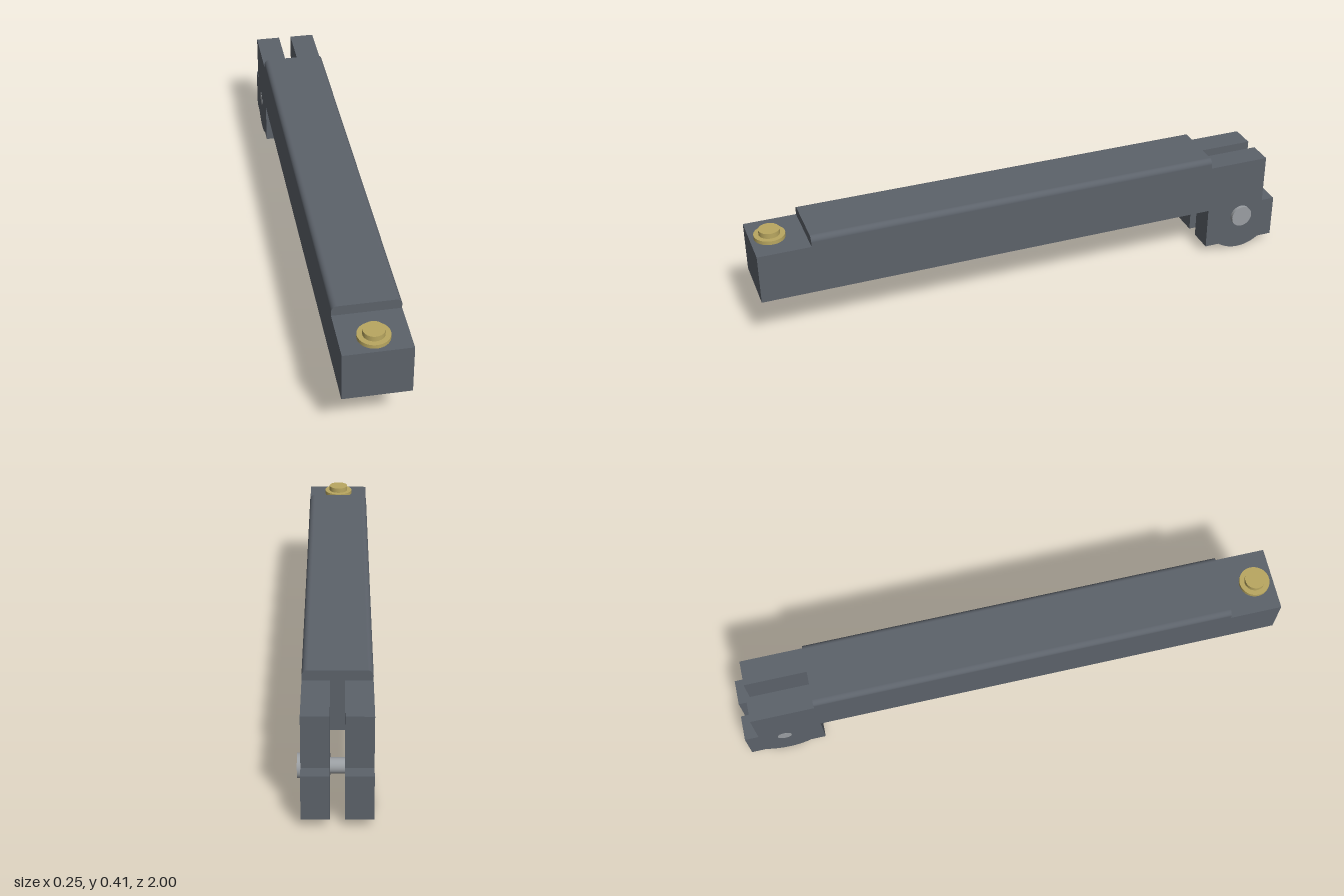
import * as THREE from 'three';

const mat = (name, color) => {
  const m = new THREE.MeshStandardMaterial({ color });
  m.name = name;
  return m;
};

export function createModel() {
  const group = new THREE.Group();
  const steel = mat('darkSteel', 0x5c626a);
  const silver = mat('pinSilver', 0x9a9ea2);
  const brass = mat('brass', 0xb9a760);

  const CX = -0.007, HALF = 0.116, WALL = 0.02; // arm centre, half width, wall
  const BASE = 0.188, DECK = 0.373, TOP = 0.41; // arm heights
  const PIN_Y = 0.141, PIN_Z = -0.86;

  const add = (name, geometry, material, x = 0, y = 0, z = 0) => {
    const mesh = new THREE.Mesh(geometry, material);
    mesh.name = name;
    mesh.position.set(x, y, z);
    group.add(mesh);
    return mesh;
  };
  const extrude = (shape, depth) =>
    new THREE.ExtrudeGeometry(shape, { depth, bevelEnabled: false, curveSegments: 16 });
  const polygon = (pts) => new THREE.Shape(pts.map(([x, y]) => new THREE.Vector2(x, y)));

  // Arm: a channel open underneath, running front to back
  const inner = HALF - WALL, ceiling = DECK - WALL;
  const channel = polygon([
    [-HALF, BASE], [-inner, BASE], [-inner, ceiling], [inner, ceiling],
    [inner, BASE], [HALF, BASE], [HALF, DECK], [-HALF, DECK],
  ]);
  add('armChannel', extrude(channel, 1.72), steel, CX, 0, -0.72);

  // Front wall and solid rear block closing the channel
  const plug = (name, z0, z1) => add(name,
    new THREE.BoxGeometry(inner * 2, ceiling - BASE, z1 - z0), steel,
    CX, (ceiling + BASE) / 2, (z0 + z1) / 2);
  plug('frontWall', 1 - WALL, 1);
  plug('rearBlock', -0.72, -0.59);

  // Raised top with rounded long edges
  const r = 0.02;
  const cap = new THREE.Shape();
  cap.moveTo(-HALF, DECK);
  cap.lineTo(HALF, DECK);
  cap.lineTo(HALF, TOP - r);
  cap.absarc(HALF - r, TOP - r, r, 0, Math.PI / 2, false);
  cap.lineTo(-HALF + r, TOP);
  cap.absarc(-HALF + r, TOP - r, r, Math.PI / 2, Math.PI, false);
  cap.lineTo(-HALF, DECK);
  add('raisedTop', extrude(cap, 1.53), steel, CX, 0, -0.72);

  // Fork prongs: side profile drawn with u = -z, then turned to run along x
  const R = 0.141, foot = 0.028;
  const a = Math.asin((PIN_Y - foot) / R);
  const prong = new THREE.Shape();
  prong.moveTo(0.72, DECK);
  prong.lineTo(0.72, foot);
  prong.lineTo(-PIN_Z - R * Math.cos(a), foot);
  prong.absarc(-PIN_Z, PIN_Y, R, Math.PI + a, 2 * Math.PI - a, false);
  prong.lineTo(1, foot);
  prong.lineTo(1, BASE);
  prong.lineTo(0.95, BASE);
  prong.lineTo(0.95, DECK);
  const prongGeometry = extrude(prong, 0.092).rotateY(Math.PI / 2);
  add('rightProng', prongGeometry, steel, -0.123);
  add('leftProng', prongGeometry, steel, 0.017);

  // Hinge pin across the fork, with a head on one side
  const rod = (name, radius, x0, x1) => add(name,
    new THREE.CylinderGeometry(radius, radius, x1 - x0, 32).rotateZ(Math.PI / 2),
    silver, (x0 + x1) / 2, PIN_Y, PIN_Z);
  rod('hingePin', 0.026, -0.124, 0.11);
  rod('pinHead', 0.041, 0.108, 0.122);

  // Stepped brass button on the front deck
  const button = (name, radius, y0, y1) => add(name,
    new THREE.CylinderGeometry(radius, radius, y1 - y0, 40), brass,
    -0.008, (y0 + y1) / 2, 0.93);
  button('buttonFlange', 0.055, DECK, 0.387);
  button('buttonBoss', 0.037, 0.386, 0.406);

  return group;
}
